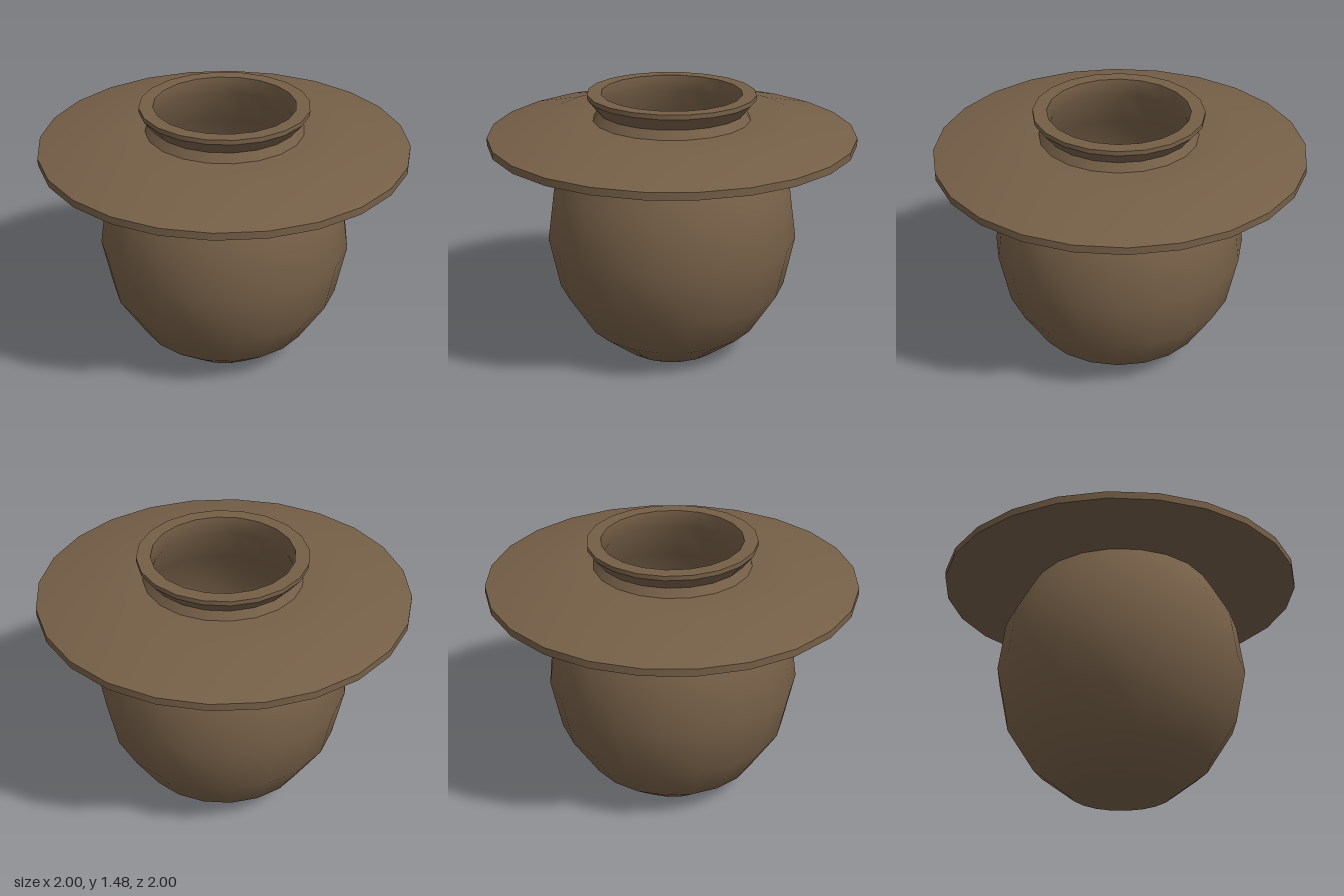
import * as THREE from 'three';

export function createModel() {
  const group = new THREE.Group();
  const clay = new THREE.MeshStandardMaterial({ color: 0x755f47 });
  clay.name = 'brown clay';

  // Each profile is smooth along its length; separate profiles meet at sharp edges.
  const turn = (name, sides, profile, parent) => {
    const points = profile.map(([r, y]) => new THREE.Vector2(r, y));
    const mesh = new THREE.Mesh(new THREE.LatheGeometry(points, sides), clay);
    mesh.name = name;
    parent.add(mesh);
  };

  // Round pot, leaning very slightly
  const pot = new THREE.Group();
  pot.name = 'pot';
  pot.position.x = 0.006;
  turn('potBody', 20, [[0, 0], [0.28, 0], [0.482, 0.157], [0.632, 0.395], [0.69, 0.68],
    [0.652, 0.955], [0.54, 1.16], [0.4, 1.385]], pot);
  turn('neckFlare', 20, [[0.4, 1.385], [0.457, 1.455]], pot);
  turn('rimEdge', 20, [[0.457, 1.455], [0.457, 1.48]], pot);
  turn('rimTop', 20, [[0.457, 1.48], [0.382, 1.48]], pot);
  turn('potInside', 20, [[0.382, 1.48], [0.375, 1.385], [0.47, 1.18], [0.595, 0.95],
    [0.63, 0.68], [0.575, 0.42], [0.43, 0.2], [0.24, 0.06], [0, 0.06]], pot);
  // Lean the mouth a touch while the base stays level
  pot.children.forEach(({ geometry }) => {
    const p = geometry.attributes.position;
    for (let i = 0; i < p.count; i++) {
      const lift = Math.max(0, p.getY(i) - 1.3) / 0.18;
      p.setY(i, p.getY(i) + lift * 0.006 * (p.getX(i) + p.getZ(i)));
    }
  });
  group.add(pot);

  // Wide brim around the shoulder
  const brim = new THREE.Group();
  brim.name = 'brim';
  turn('brimUnderside', 24, [[0.46, 1.22], [1, 1.22]], brim);
  turn('brimEdge', 24, [[1, 1.22], [1, 1.26]], brim);
  turn('brimTop', 24, [[1, 1.26], [0.68, 1.34], [0.415, 1.34]], brim);
  group.add(brim);

  return group;
}
